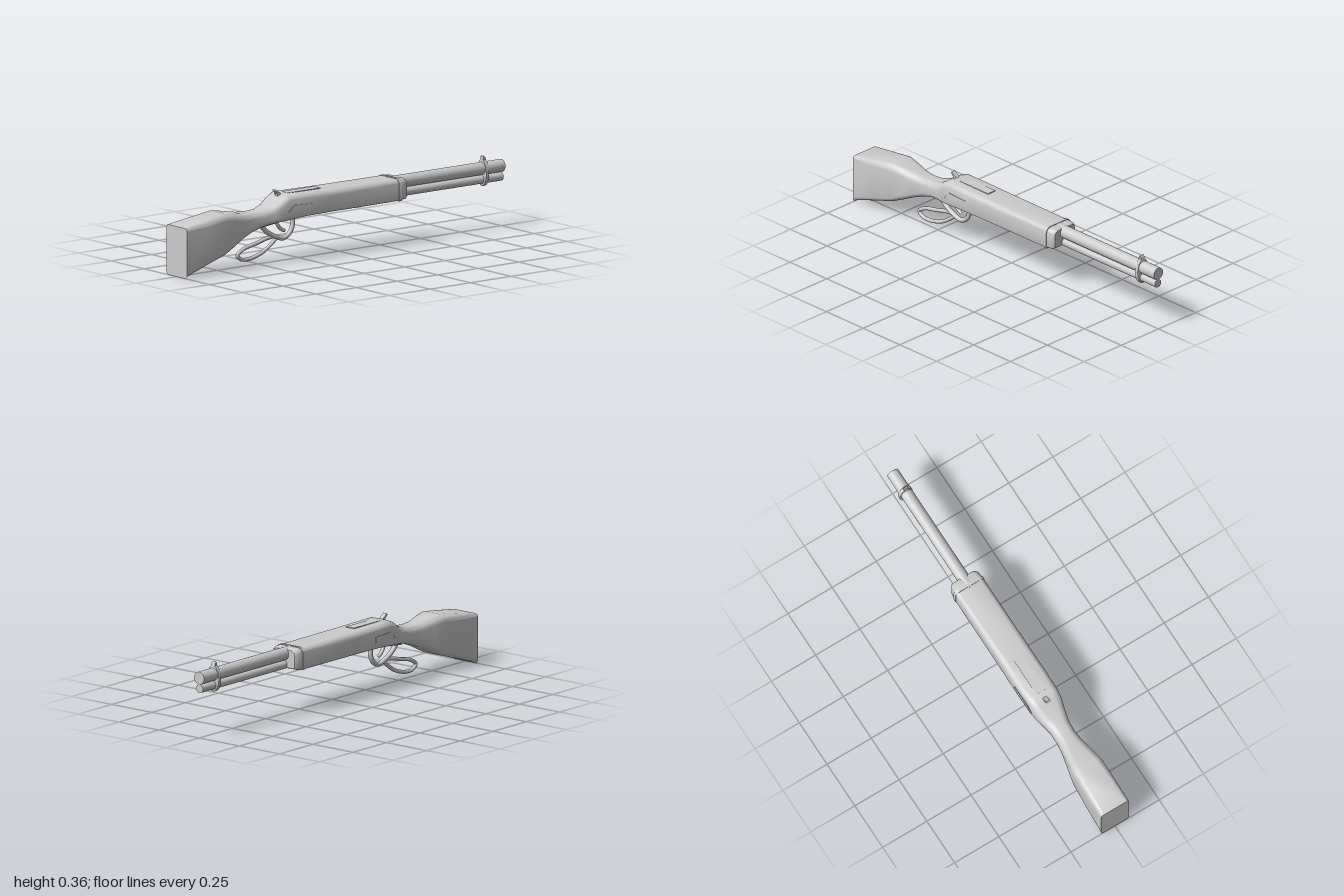
import * as THREE from 'three';
import { toCreasedNormals } from 'three/addons/utils/BufferGeometryUtils.js';

const material = new THREE.MeshStandardMaterial({ color: 0xcccccc, roughness: 0.7 });

function add(group, name, geometry, x = 0, y = 0, z = 0) {
  const mesh = new THREE.Mesh(geometry, material);
  mesh.name = name;
  mesh.position.set(x, y, z);
  group.add(mesh);
  return mesh;
}

// Rounded-rectangle ring of [y, z] points; separate radii for top and bottom corners
function section(bottom, top, half, rTop, rBottom, steps = 6) {
  const ring = [];
  const corners = [[1, 1], [-1, 1], [-1, -1], [1, -1]];
  corners.forEach(([sy, sz], k) => {
    const r = sy > 0 ? rTop : rBottom;
    const cy = sy > 0 ? top - r : bottom + r;
    const cz = sz * (half - r);
    for (let i = 0; i <= steps; i++) {
      const a = (k + i / steps) * Math.PI / 2;
      ring.push([cy + r * Math.cos(a), cz + r * Math.sin(a)]);
    }
  });
  return ring;
}

// Skin the stations [x, bottom, top, halfWidth, topRadius, bottomRadius] and cap both ends
function loft(stations, crease = 0.6) {
  const pos = [], index = [];
  const rings = stations.map(([, ...s]) => section(...s));
  const n = rings[0].length;
  rings.forEach((ring, i) => ring.forEach(([y, z]) => pos.push(stations[i][0], y, z)));
  for (let i = 0; i < rings.length - 1; i++) {
    for (let j = 0; j < n; j++) {
      const a = i * n + j, b = i * n + (j + 1) % n;
      index.push(a, b, a + n, b, b + n, a + n);
    }
  }
  const last = (rings.length - 1) * n;
  const middle = pos.length / 3;
  for (const s of [stations[0], stations[stations.length - 1]]) pos.push(s[0], (s[1] + s[2]) / 2, 0);
  for (let j = 0; j < n; j++) {
    const k = (j + 1) % n;
    index.push(middle, k, j, middle + 1, last + j, last + k);
  }
  const g = new THREE.BufferGeometry();
  g.setAttribute('position', new THREE.Float32BufferAttribute(pos, 3));
  g.setIndex(index);
  return toCreasedNormals(g, crease);
}

// Round bar following a smooth path in the x-y plane
function bar(points, radius, closed = false) {
  const curve = new THREE.CatmullRomCurve3(points.map(([x, y]) => new THREE.Vector3(x, y, 0)), closed);
  return new THREE.TubeGeometry(curve, 64, radius, 10, closed);
}

// Flat outline extruded symmetrically about z = 0
function slab(points, depth, hole) {
  const shape = new THREE.Shape(points.map(p => new THREE.Vector2(...p)));
  if (hole) shape.holes.push(new THREE.Path(hole.map(p => new THREE.Vector2(...p))));
  return new THREE.ExtrudeGeometry(shape, { depth, bevelEnabled: false }).translate(0, 0, -depth / 2);
}

function rod(radius, x0, x1) {
  return new THREE.CylinderGeometry(radius, radius, x1 - x0, 28).rotateZ(-Math.PI / 2).translate((x0 + x1) / 2, 0, 0);
}

export function createModel() {
  const model = new THREE.Group();
  model.name = 'leverActionModel';

  // Buttstock, wrist, receiver and forend in one flowing body
  add(model, 'stockAndBody', loft([
    [-1.00, 0.005, 0.25, 0.078, 0.012, 0.016],
    [-0.99, 0.012, 0.254, 0.078, 0.018, 0.022],
    [-0.87, 0.05, 0.273, 0.08, 0.03, 0.03],
    [-0.75, 0.088, 0.291, 0.078, 0.035, 0.03],
    [-0.69, 0.115, 0.283, 0.068, 0.036, 0.03],
    [-0.62, 0.148, 0.271, 0.056, 0.036, 0.03],
    [-0.56, 0.171, 0.268, 0.05, 0.034, 0.03],
    [-0.50, 0.19, 0.272, 0.053, 0.034, 0.026],
    [-0.445, 0.202, 0.288, 0.066, 0.036, 0.022],
    [-0.395, 0.209, 0.32, 0.077, 0.036, 0.016],
    [-0.36, 0.213, 0.335, 0.08, 0.034, 0.012],
    [-0.26, 0.222, 0.333, 0.082, 0.032, 0.005],
    [-0.10, 0.224, 0.331, 0.081, 0.03, 0.004],
    [0.32, 0.225, 0.329, 0.08, 0.028, 0.004],
  ]));

  // Band around the forend and the tapered nose in front of it
  add(model, 'forendBand', loft([
    [0.305, 0.222, 0.332, 0.083, 0.03, 0.005],
    [0.32, 0.222, 0.332, 0.083, 0.03, 0.005],
  ]));
  add(model, 'forendNose', loft([
    [0.315, 0.227, 0.329, 0.08, 0.028, 0.006],
    [0.35, 0.228, 0.328, 0.077, 0.028, 0.008],
    [0.364, 0.234, 0.322, 0.068, 0.026, 0.01],
  ]));

  // Barrel above the magazine tube
  add(model, 'barrel', rod(0.031, 0.3, 1), 0, 0.3);
  add(model, 'magazineTube', rod(0.021, 0.3, 0.997), 0, 0.247);

  // Oval band holding both tubes, with the sight on top
  const oval = new THREE.Shape().absellipse(0, 0, 0.037, 0.065, 0, Math.PI * 2);
  const band = new THREE.ExtrudeGeometry(oval, {
    depth: 0.012, bevelEnabled: true, bevelSize: 0.003, bevelThickness: 0.004,
    bevelOffset: -0.003, bevelSegments: 2, curveSegments: 24,
  }).rotateY(Math.PI / 2).translate(-0.006, 0, 0);
  add(model, 'barrelBand', toCreasedNormals(band, 0.6), 0.887, 0.279);
  add(model, 'frontSight', slab([[0.876, 0.335], [0.898, 0.335], [0.892, 0.355], [0.886, 0.361], [0.88, 0.357]], 0.022));

  // Hammer spur and slim top cover
  add(model, 'hammer', slab([[-0.385, 0.31], [-0.355, 0.325], [-0.375, 0.34], [-0.397, 0.356], [-0.403, 0.35], [-0.388, 0.335]], 0.022));
  add(model, 'topCover', new THREE.BoxGeometry(0.2, 0.006, 0.05), -0.235, 0.3325);

  // Loading port frame on both sides, with a slightly sunken plate
  const outer = [[-0.375, 0.254], [-0.342, 0.286], [-0.226, 0.281], [-0.226, 0.252]];
  const inner = [[-0.36, 0.258], [-0.338, 0.281], [-0.231, 0.277], [-0.231, 0.256]];
  add(model, 'portFrames', slab(outer, 0.168, inner));

  // Trigger guard, trigger and finger loop of the lever
  const lever = new THREE.Group();
  lever.name = 'lever';
  model.add(lever);
  add(lever, 'triggerGuard', bar([
    [-0.49, 0.205], [-0.465, 0.172], [-0.43, 0.145], [-0.39, 0.125],
    [-0.345, 0.113], [-0.305, 0.134], [-0.287, 0.172], [-0.288, 0.222],
  ], 0.012));
  add(lever, 'fingerLoop', bar([
    [-0.385, 0.125], [-0.44, 0.124], [-0.51, 0.107], [-0.59, 0.088], [-0.627, 0.062],
    [-0.605, 0.041], [-0.56, 0.036], [-0.48, 0.056], [-0.415, 0.095],
  ], 0.0095, true));
  add(model, 'trigger', bar([[-0.39, 0.215], [-0.382, 0.185], [-0.36, 0.16], [-0.338, 0.148]], 0.009));
  add(model, 'triggerPlate', new THREE.BoxGeometry(0.23, 0.02, 0.04), -0.385, 0.207).rotation.z = 0.12;

  return model;
}
